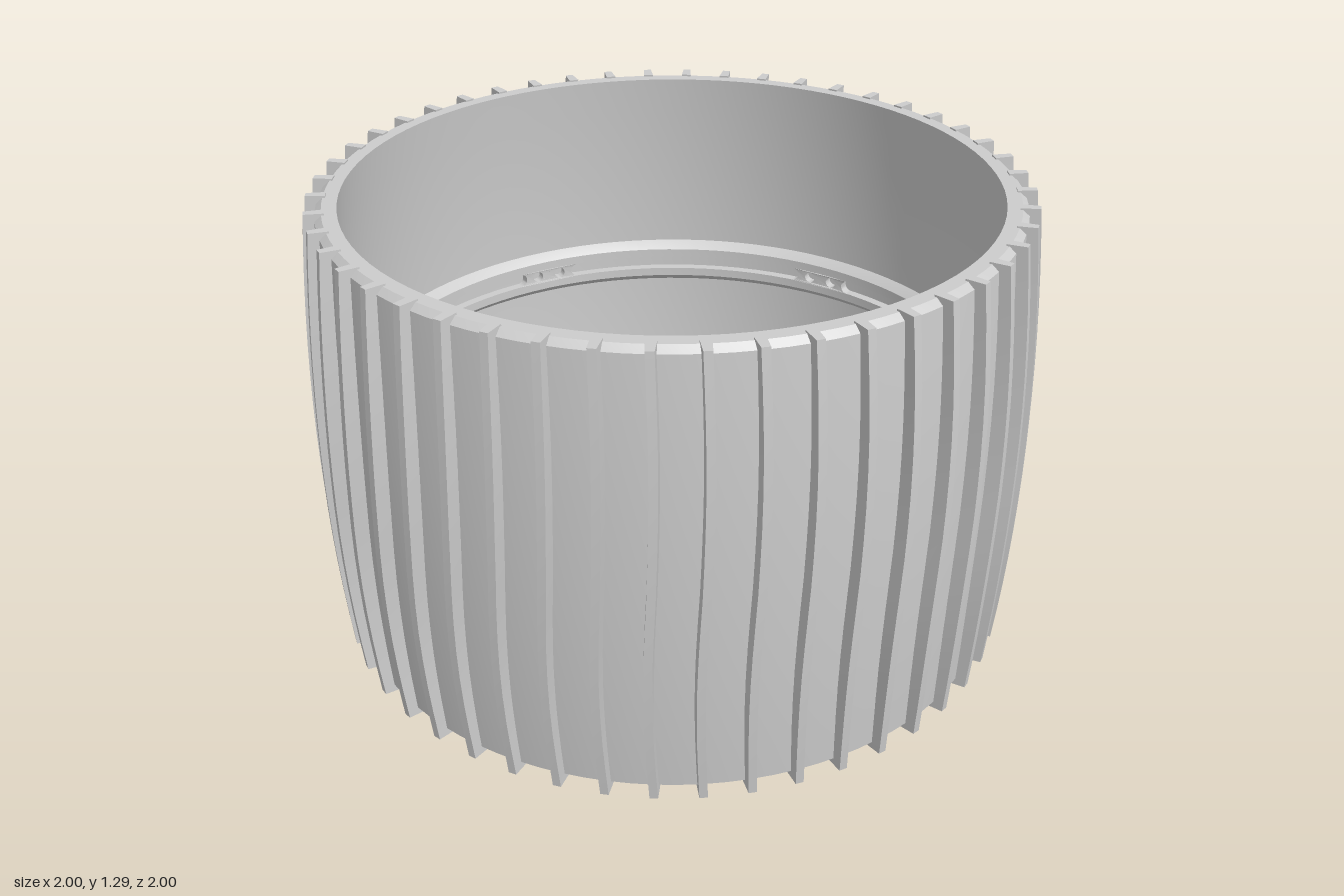
import * as THREE from 'three';
import { toCreasedNormals } from 'three/addons/utils/BufferGeometryUtils.js';

const HALF = 0.638;        // half height of the drum
const FINS = 48;
const BAND_INNER = 0.888;  // inner face of the middle band
const BAND_OUTER = 0.924;  // where the band sinks into the wall
const SLOT = 0.021;        // half height of the slots

const bulge = (t) => 1 - t * t;
const v2 = (r, y) => new THREE.Vector2(r, y);

// closed ring from a counter-clockwise (radius, y) profile
function ring(points) {
  return toCreasedNormals(new THREE.LatheGeometry([...points, points[0].clone()], 96), 0.45);
}

// barrel-shaped wall, bulging at mid height, with chamfered outer rims
function wallGeometry() {
  const top = HALF - 0.005;
  const outer = [v2(0.92, -top)], inner = [];
  for (let i = 0; i <= 12; i++) {
    const t = -1 + i / 6;
    outer.push(v2(0.938 + 0.022 * bulge(t), t * (top - 0.016)));
    inner.unshift(v2(0.88 + 0.036 * bulge(t), t * top));
  }
  outer.push(v2(0.92, top));
  return ring([...outer, ...inner]);
}

// one tread fin: a tapered section swept up the wall with a slight wave
function finGeometry() {
  const steps = 14, pos = [], index = [];
  for (let i = 0; i <= steps; i++) {
    const t = -1 + (2 * i) / steps;
    const wave = -0.009 * Math.sin(Math.PI * (t + 1)) * (t < 0 ? 1.2 : 0.8);
    const tip = 0.965 + 0.034 * bulge(t);
    const root = 0.912 + 0.03 * bulge(t);
    const y = t * HALF;
    pos.push(wave - 0.014, y, root, wave + 0.014, y, root,
      wave + 0.011, y, tip, wave - 0.011, y, tip);
  }
  for (let i = 0; i < steps; i++) {
    for (let k = 0; k < 4; k++) {
      const a = i * 4 + k, b = i * 4 + ((k + 1) % 4);
      index.push(a, a + 4, b, b, a + 4, b + 4);
    }
  }
  const e = steps * 4;
  index.push(0, 1, 2, 0, 2, 3, e, e + 2, e + 1, e, e + 3, e + 2);
  const g = new THREE.BufferGeometry();
  g.setAttribute('position', new THREE.Float32BufferAttribute(pos, 3));
  g.setIndex(index);
  return toCreasedNormals(g, 0.5);
}

// bridge between two slots: concave rounded ends and two round holes
function bridgeGeometry() {
  const w = 0.1;
  const s = new THREE.Shape();
  s.moveTo(-w, -SLOT);
  s.lineTo(w, -SLOT);
  s.absarc(w, 0, SLOT, -Math.PI / 2, Math.PI / 2, true);
  s.lineTo(-w, SLOT);
  s.absarc(-w, 0, SLOT, Math.PI / 2, -Math.PI / 2, true);
  for (const x of [-0.038, 0.038]) {
    const hole = new THREE.Path();
    hole.absarc(x, 0, 0.017, 0, Math.PI * 2, false);
    s.holes.push(hole);
  }
  const g = new THREE.ExtrudeGeometry(s, {
    depth: BAND_OUTER - BAND_INNER, bevelEnabled: false, curveSegments: 10,
  });
  // bend the flat plate around the inside of the drum
  const p = g.attributes.position;
  for (let i = 0; i < p.count; i++) {
    const a = -p.getX(i) / BAND_INNER;
    const r = BAND_OUTER - p.getZ(i);
    p.setXYZ(i, Math.sin(a) * r, p.getY(i), Math.cos(a) * r);
  }
  return toCreasedNormals(g, 0.5);
}

export function createModel() {
  const grey = new THREE.MeshStandardMaterial({ color: 0xcccccc });
  grey.name = 'lightGrey';
  const model = new THREE.Group();
  model.name = 'wheelRim';

  const add = (parent, name, geometry, angle = 0) => {
    const mesh = new THREE.Mesh(geometry, grey);
    mesh.name = name;
    mesh.rotation.y = angle;
    parent.add(mesh);
  };

  // the drum leans very slightly
  const drum = new THREE.Group();
  drum.name = 'drum';
  drum.position.y = 0.647;
  drum.rotation.set(0.0065, 0, 0.0065);
  model.add(drum);

  add(drum, 'wall', wallGeometry());

  // tread fins
  const fin = finGeometry();
  for (let i = 0; i < FINS; i++) add(drum, 'treadFin', fin, (i / FINS) * Math.PI * 2);

  // inner band: two rails with sloped outer edges, joined by six bridges
  add(drum, 'upperRail', ring([
    v2(BAND_OUTER, SLOT), v2(BAND_OUTER, 0.075), v2(0.915, 0.07),
    v2(BAND_INNER, 0.047), v2(BAND_INNER, SLOT),
  ]));
  add(drum, 'lowerRail', ring([
    v2(BAND_OUTER, -0.075), v2(BAND_OUTER, -SLOT), v2(BAND_INNER, -SLOT),
    v2(BAND_INNER, -0.047), v2(0.915, -0.07),
  ]));
  const bridge = bridgeGeometry();
  for (let i = 0; i < 6; i++) add(drum, 'bandBridge', bridge, ((52.5 + 60 * i) * Math.PI) / 180);

  return model;
}
